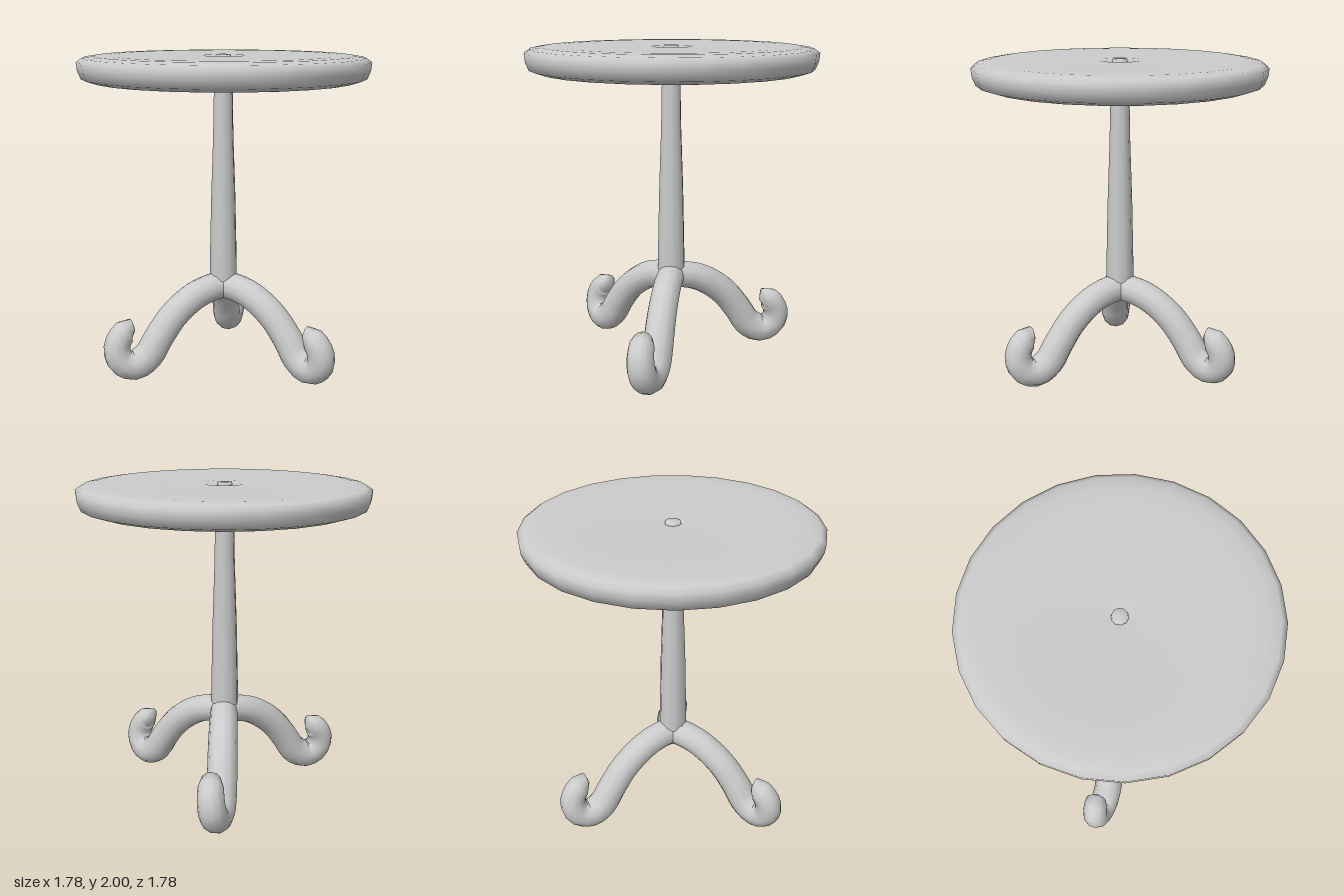
import * as THREE from 'three';
import { mergeVertices } from 'three/addons/utils/BufferGeometryUtils.js';

const material = new THREE.MeshStandardMaterial({ color: 0xcccccc, side: THREE.DoubleSide });

function addMesh(parent, name, geometry) {
  const mesh = new THREE.Mesh(geometry, material);
  mesh.name = name;
  parent.add(mesh);
  return mesh;
}

function smooth(geometry) {
  geometry.deleteAttribute('uv');
  geometry.deleteAttribute('normal');
  const welded = mergeVertices(geometry, 1e-4);
  welded.computeVertexNormals();
  return welded;
}

const lathe = (profile, sides) =>
  new THREE.LatheGeometry(profile.map(([r, y]) => new THREE.Vector2(r, y)), sides, Math.PI);

// Tube along a path whose rings are scaled by radiusAt(u)
function taperedTube(curve, steps, sides, radiusAt) {
  const geometry = new THREE.TubeGeometry(curve, steps, 1, sides, false);
  const pos = geometry.attributes.position;
  const v = new THREE.Vector3();
  for (let i = 0; i <= steps; i++) {
    const centre = curve.getPointAt(i / steps);
    const radius = radiusAt(i / steps);
    for (let j = 0; j <= sides; j++) {
      const k = i * (sides + 1) + j;
      v.fromBufferAttribute(pos, k).sub(centre).multiplyScalar(radius).add(centre);
      pos.setXYZ(k, v.x, v.y, v.z);
    }
  }
  return smooth(geometry);
}

// Arched leg ending in an upturned foot that bends slightly sideways
function legGeometry() {
  const path = new THREE.CatmullRomCurve3([
    [0, 0.535, 0], [0.08, 0.53, 0], [0.21, 0.49, 0], [0.36, 0.385, 0], [0.47, 0.25, 0],
    [0.54, 0.145, 0.005], [0.63, 0.095, 0.02], [0.705, 0.13, 0.04], [0.727, 0.21, 0.055],
    [0.695, 0.285, 0.06], [0.645, 0.32, 0.06], [0.6, 0.31, 0.058],
  ].map((p) => new THREE.Vector3(...p)));
  const tipStart = 0.94;
  return taperedTube(path, 32, 12, (u) => {
    const body = u < 0.65 ? 0.087 + 0.008 * (u / 0.65) : 0.095 - 0.022 * ((u - 0.65) / 0.35);
    const t = Math.max(0, (u - tipStart) / (1 - tipStart));
    return body * Math.sqrt(Math.max(0, 1 - t * t));
  });
}

export function createModel() {
  const group = new THREE.Group();
  group.name = 'pedestalTable';

  // Round top with a rolled rim and a shallow dimple at the centre of both faces
  addMesh(group, 'tableTop', lathe([
    [0, 1.855], [0.06, 1.85], [0.13, 1.835], [0.73, 1.833], [0.8, 1.838], [0.868, 1.86],
    [0.888, 1.91], [0.893, 1.96], [0.86, 1.983], [0.79, 1.994], [0.7, 1.996],
    [0.13, 1.993], [0.06, 1.984], [0, 1.98],
  ], 25));

  // Tapered column whose end just shows through the top
  const column = addMesh(group, 'column', lathe([
    [0.088, 0.5], [0.088, 0.65], [0.078, 1.1], [0.064, 1.5], [0.058, 1.83], [0.05, 1.975],
    [0.045, 2], [0, 2],
  ], 10));
  column.position.x = -0.005;

  // Three legs, 120 degrees apart
  const geometry = legGeometry();
  for (let i = 0; i < 3; i++) {
    const leg = addMesh(group, 'leg' + (i + 1), geometry);
    leg.rotation.y = Math.PI + (i * 2 * Math.PI) / 3;
  }
  return group;
}
